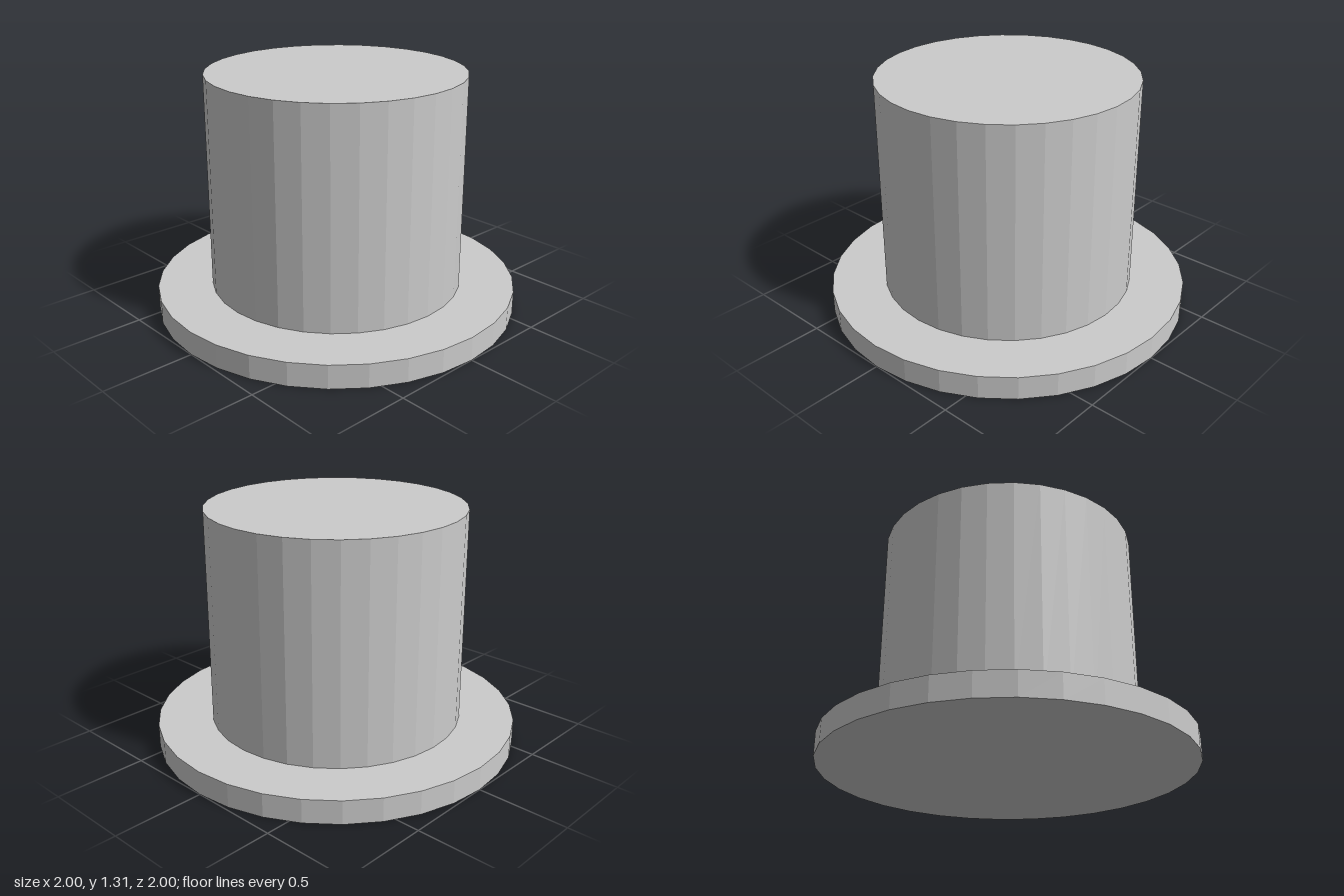
import * as THREE from 'three';

const SIDES = 32;
const BRIM_HEIGHT = 0.13;
const TOTAL_HEIGHT = 1.315;

export function createModel() {
  const group = new THREE.Group();
  group.name = 'topHat';
  const material = new THREE.MeshStandardMaterial({ color: 0xcccccc, flatShading: true });

  // Upright faceted disc standing on the given height
  const addDisc = (name, radius, bottom, height) => {
    const mesh = new THREE.Mesh(new THREE.CylinderGeometry(radius, radius, height, SIDES), material);
    mesh.name = name;
    mesh.position.y = bottom + height / 2;
    group.add(mesh);
  };

  // Wide flat brim, closed underneath
  addDisc('brim', 1, 0, BRIM_HEIGHT);
  // Straight-sided crown with a flat top
  addDisc('crown', 0.7, BRIM_HEIGHT, TOTAL_HEIGHT - BRIM_HEIGHT);

  return group;
}
